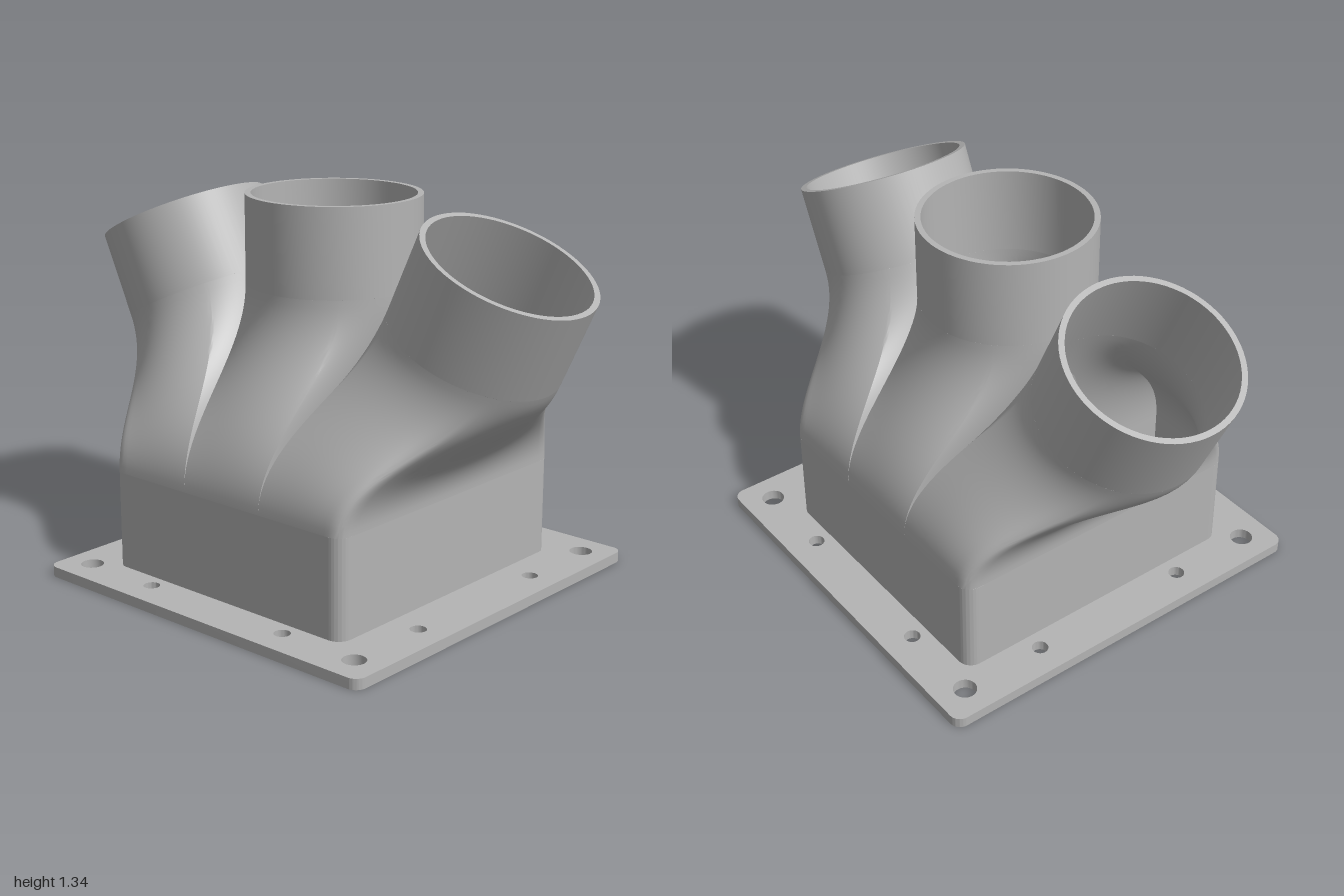
import * as THREE from 'three';
import { toCreasedNormals } from 'three/addons/utils/BufferGeometryUtils.js';

const WALL = 0.02, R = 0.3, PIPE = 0.305;
const LOFT_Y = 0.38, FLANGE_H = 0.037;
const TILT = THREE.MathUtils.degToRad(25);

const metal = new THREE.MeshStandardMaterial({ color: 0xb4b4b4 });
metal.name = 'grey metal';

function add(group, geometry, name) {
  const mesh = new THREE.Mesh(toCreasedNormals(geometry, 0.5), metal);
  mesh.name = name;
  group.add(mesh);
  return mesh;
}

// Rounded rectangle centred on (cx, 0)
function roundRect(target, cx, hw, hh, r) {
  const x0 = cx - hw, x1 = cx + hw;
  target.moveTo(x0 + r, -hh);
  target.lineTo(x1 - r, -hh).absarc(x1 - r, -hh + r, r, -Math.PI / 2, 0);
  target.lineTo(x1, hh - r).absarc(x1 - r, hh - r, r, 0, Math.PI / 2);
  target.lineTo(x0 + r, hh).absarc(x0 + r, hh - r, r, Math.PI / 2, Math.PI);
  target.lineTo(x0, -hh + r).absarc(x0 + r, -hh + r, r, Math.PI, Math.PI * 1.5);
  return target;
}

function extrudeUp(shape, y, height) {
  const g = new THREE.ExtrudeGeometry(shape, { depth: height, bevelEnabled: false, curveSegments: 16 });
  return g.rotateX(-Math.PI / 2).translate(0, y, 0);
}

// Closed rectangular section, clustered near corners; r rounds the +x corners
function section(x0, x1, hz, r) {
  const N = 24, pts = [];
  const corners = [[x1, -hz], [x1, hz], [x0, hz], [x0, -hz]];
  for (let s = 0; s < 4; s++) {
    const a = corners[s], b = corners[(s + 1) % 4];
    for (let i = 0; i < N; i++) {
      const u = (1 - Math.cos((Math.PI * i) / N)) / 2;
      let x = a[0] + (b[0] - a[0]) * u, z = a[1] + (b[1] - a[1]) * u;
      const qx = x1 - r, qz = Math.sign(z) * (hz - r);
      if (r > 0 && x > qx && Math.abs(z) > hz - r) {
        const d = Math.hypot(x - qx, z - qz);
        x = qx + ((x - qx) / d) * r;
        z = qz + ((z - qz) / d) * r;
      }
      pts.push({ x, z, angle: -Math.PI / 4 + (s + u) * Math.PI / 2 });
    }
  }
  return pts;
}

// Smooth transition from a rectangular section to a tilted circle
function loft(pts, centre, tilt, radius, inward) {
  const ROWS = 28, n = pts.length, pos = [], index = [];
  const axis = new THREE.Vector3(Math.sin(tilt), Math.cos(tilt), 0);
  const side = new THREE.Vector3(Math.cos(tilt), -Math.sin(tilt), 0);
  for (let j = 0; j <= ROWS; j++) {
    const t = j / ROWS, t2 = t * t, t3 = t2 * t;
    for (const { x, z, angle } of pts) {
      const p0 = new THREE.Vector3(x, LOFT_Y, z);
      const p1 = centre.clone().addScaledVector(side, radius * Math.cos(angle));
      p1.z += radius * Math.sin(angle);
      const pull = p0.distanceTo(p1);
      const p = p0.clone().multiplyScalar(2 * t3 - 3 * t2 + 1)
        .addScaledVector(p1, 3 * t2 - 2 * t3)
        .addScaledVector(axis, pull * (t3 - t2));
      p.y += pull * (t3 - 2 * t2 + t);
      pos.push(p.x, p.y, p.z);
    }
  }
  for (let j = 0; j < ROWS; j++) {
    for (let i = 0; i < n; i++) {
      const a = j * n + i, b = j * n + (i + 1) % n, c = a + n, d = b + n;
      if (inward) index.push(a, b, c, b, d, c);
      else index.push(a, c, b, b, c, d);
    }
  }
  const g = new THREE.BufferGeometry();
  g.setAttribute('position', new THREE.Float32BufferAttribute(pos, 3));
  g.setIndex(index);
  return g;
}

// One outlet: outer skin, inner skin and straight pipe
function makeOutlet(name, outer, inner, centre, tilt) {
  const group = new THREE.Group();
  group.name = name;
  add(group, loft(outer, centre, tilt, R, false), 'transitionOuter');
  add(group, loft(inner, centre, tilt, R - WALL, true), 'transitionInner');
  const profile = [[R, 0], [R, PIPE], [R - WALL, PIPE], [R - WALL, 0]];
  const pipe = add(group, new THREE.LatheGeometry(profile.map(p => new THREE.Vector2(...p)), 72), 'pipe');
  pipe.position.copy(centre);
  pipe.rotation.z = -tilt;
  return group;
}

export function createModel() {
  const model = new THREE.Group();
  model.name = 'threeWayManifold';

  // Base flange with bolt holes
  const flange = roundRect(new THREE.Shape(), 0.022, 0.711, 0.725, 0.04);
  flange.holes.push(roundRect(new THREE.Path(), 0, 0.5, 0.54, 0.03));
  const hole = (x, z, r) => flange.holes.push(new THREE.Path().absarc(x, z, r, 0, Math.PI * 2, true));
  for (const s of [-1, 1]) {
    for (const x of [-0.583, 0.627]) {
      hole(x, s * 0.617, 0.04);
      hole(x, s * 0.305, 0.028);
    }
    for (const x of [-0.28, 0.325]) hole(x, s * 0.617, 0.028);
  }
  add(model, extrudeUp(flange, 0, FLANGE_H), 'baseFlange');

  // Rectangular hollow body
  const body = roundRect(new THREE.Shape(), 0, 0.52, 0.56, 0.05);
  body.holes.push(roundRect(new THREE.Path(), 0, 0.5, 0.54, 0.03));
  add(model, extrudeUp(body, FLANGE_H, LOFT_Y - FLANGE_H), 'bodyWalls');

  // Inner dividers between the three channels
  for (const s of [-1, 1]) {
    const plate = new THREE.BoxGeometry(WALL, LOFT_Y - 0.115, 1.09);
    add(model, plate, s > 0 ? 'leftDivider' : 'rightDivider').position.set(s * 0.17, (LOFT_Y + 0.115) / 2, 0);
  }

  // Centre outlet and the two tilted side outlets
  model.add(makeOutlet('centreOutlet', section(-0.17, 0.17, 0.56, 0), section(-0.16, 0.16, 0.54, 0),
    new THREE.Vector3(0, 1.03, 0), 0));
  for (const s of [1, -1]) {
    const outlet = makeOutlet(s > 0 ? 'leftOutlet' : 'rightOutlet',
      section(0.17, 0.52, 0.56, 0.05), section(0.18, 0.5, 0.54, 0.03),
      new THREE.Vector3(0.599, 0.91, 0), TILT);
    if (s < 0) outlet.rotation.y = Math.PI;
    model.add(outlet);
  }
  return model;
}
